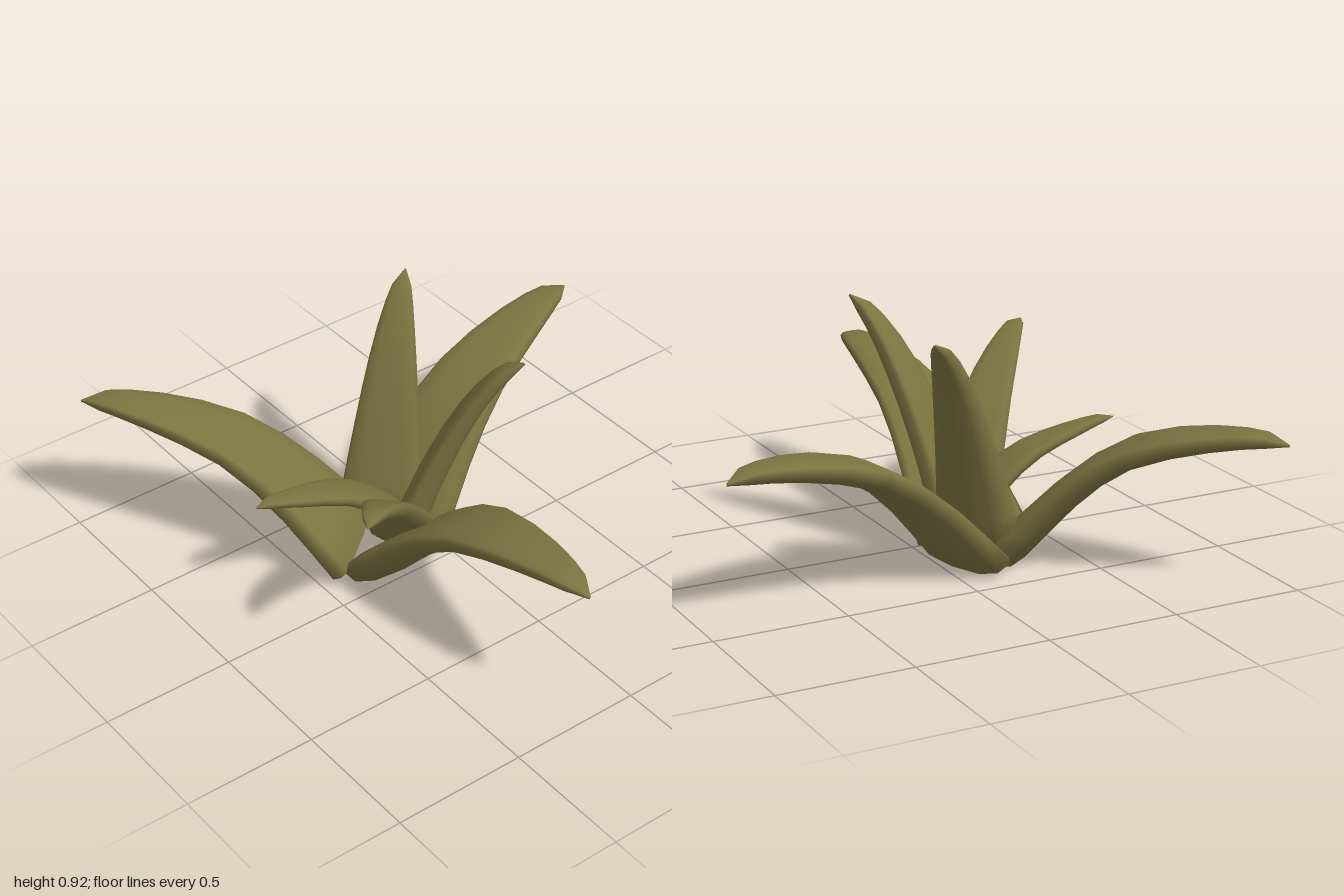
import * as THREE from 'three';

const SIDES = 12; // points around the blade section
const STEPS = [0, 0.12, 0.25, 0.38, 0.51, 0.64, 0.76, 0.86, 0.93, 1]; // along the blade
const soft = (v) => Math.sign(v) * Math.abs(v) ** 0.8; // squarer than an ellipse

// Fleshy blade: round below, nearly flat on top. rib lists [distance from root, height] of its underside.
function bladeGeometry([ox, oz], [tx, tz], rib, halfWidth, depth) {
  const reach = Math.hypot(tx - ox, tz - oz);
  const dx = (tx - ox) / reach, dz = (tz - oz) / reach;
  const scale = reach / rib[rib.length - 1][0];
  const curve = new THREE.CatmullRomCurve3(rib.map(([r, y]) => new THREE.Vector3(r * scale, y, 0)));
  const pos = [], index = [];

  function addRing(t, taper, spread) {
    const p = curve.getPointAt(t), tan = curve.getTangentAt(t);
    for (let j = 0; j < SIDES; j++) {
      const a = j / SIDES * Math.PI * 2;
      const side = soft(Math.cos(a)) * halfWidth * taper * spread;
      const s = soft(Math.sin(a));
      const level = 0.5 + (0.7 + s * (s < 0 ? 0.7 : 0.3) - 0.5) * spread;
      const lift = level * depth * taper ** 0.6;
      const r = p.x - tan.y * lift, y = p.y + tan.x * lift;
      pos.push(ox + dx * r - dz * side, y, oz + dz * r + dx * side);
    }
  }

  addRing(0, 1, 0.01); // closes the root
  for (const t of STEPS) addRing(t, t === 1 ? 0.01 : 1 - 0.7 * t - 0.2 * t ** 6, 1);

  for (let i = 0; i < STEPS.length; i++) {
    for (let j = 0; j < SIDES; j++) {
      const e = i * SIDES + j, b = i * SIDES + (j + 1) % SIDES;
      index.push(e, e + SIDES, b, b, e + SIDES, b + SIDES);
    }
  }
  const g = new THREE.BufferGeometry();
  g.setAttribute('position', new THREE.Float32BufferAttribute(pos, 3));
  g.setIndex(index);
  g.computeVertexNormals();
  return g;
}

export function createModel() {
  const group = new THREE.Group();
  group.name = 'plant';
  const olive = new THREE.MeshStandardMaterial({ color: 0x7a7440 });
  olive.name = 'olive leaf';

  const low = [[0.17, 0.005], [0.4, 0.25], [0.6, 0.4], [0.92, 0.5], [1.19, 0.54]];
  const tall = [[0.17, 0.1], [0.25, 0.35], [0.34, 0.58], [0.44, 0.78], [0.54, 0.92]];
  const middle = [[0.14, 0.13], [0.23, 0.25], [0.34, 0.38], [0.47, 0.51], [0.65, 0.64], [0.765, 0.69]];
  const small = [[0.04, 0.12], [0.17, 0.25], [0.3, 0.34], [0.5, 0.41], [0.635, 0.45]];

  // name, root (x, z), tip (x, z), rib, half width, thickness
  const leaves = [
    ['frontLowLeaf', [-0.2, -0.2], [-0.2, 0.995], low, 0.23, 0.125],
    ['leftLowLeaf', [-0.2, -0.2], [0.94, -0.5], low, 0.23, 0.125],
    ['backLowLeaf', [-0.22, -0.15], [-0.94, -1], low, 0.23, 0.125],
    ['frontTallLeaf', [-0.2, -0.2], [0.14, 0.23], tall, 0.165, 0.12],
    ['backTallLeaf', [-0.2, -0.2], [0.18, -0.51], tall, 0.165, 0.12],
    ['middleLeaf', [-0.1, -0.11], [-0.67, 0.4], middle, 0.15, 0.09],
    ['smallLeaf', [-0.1, -0.15], [-0.735, -0.18], small, 0.125, 0.07],
  ];
  for (const [name, ...shape] of leaves) {
    const leaf = new THREE.Mesh(bladeGeometry(...shape), olive);
    leaf.name = name;
    group.add(leaf);
  }
  return group;
}
